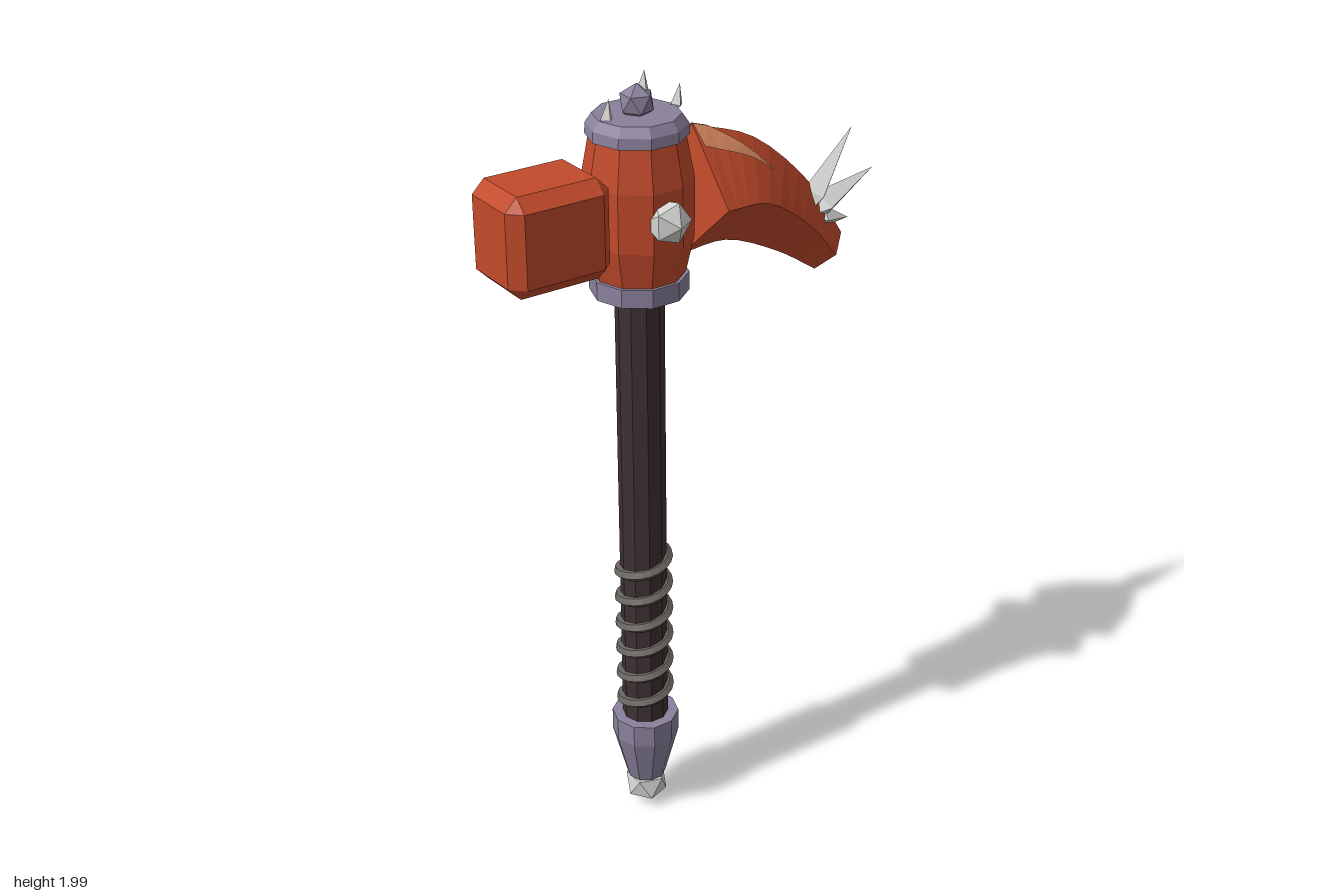
import * as THREE from 'three';
import { ConvexGeometry } from 'three/addons/geometries/ConvexGeometry.js';

const AXIS = -0.153; // x of the shaft

function paint(name, color, extra = {}) {
  const m = new THREE.MeshStandardMaterial({ color, flatShading: true, ...extra });
  m.name = name;
  return m;
}

// Icosahedron standing on one of its corners
function gem(radius) {
  return new THREE.IcosahedronGeometry(radius, 0).rotateZ(-0.5536);
}

export function createModel() {
  const group = new THREE.Group();
  const red = paint('red', 0xc24a2b);
  const tan = paint('tan', 0xd88960, { side: THREE.DoubleSide });
  const wood = paint('darkWood', 0x3e3132);
  const iron = paint('violetIron', 0x8a819b);
  const silver = paint('silver', 0xd4d4d2);
  const cord = paint('cord', 0x6b6762);

  const add = (name, geometry, material, x = 0, y = 0, z = 0) => {
    const mesh = new THREE.Mesh(geometry, material);
    mesh.name = name;
    mesh.position.set(x, y, z);
    group.add(mesh);
    return mesh;
  };
  // Faceted turned part on the shaft axis; profile is [radius, y] from bottom to top
  const turned = (name, profile, material) => {
    const g = new THREE.LatheGeometry(profile.map(p => new THREE.Vector2(...p)), 10);
    g.rotateY(Math.PI / 2);
    return add(name, g, material, AXIS);
  };
  // Four-sided crystal from a base point to a tip, widest a part of the way up
  const crystal = (name, from, to, radius, widest = 0.3) => {
    const a = new THREE.Vector3(...from), dir = new THREE.Vector3(...to).sub(a);
    const len = dir.length();
    const pts = [[0, 0], [radius, len * widest], [0, len]].map(p => new THREE.Vector2(...p));
    const mesh = add(name, new THREE.LatheGeometry(pts, 4), silver, ...from);
    mesh.quaternion.setFromUnitVectors(new THREE.Vector3(0, 1, 0), dir.normalize());
    return mesh;
  };

  // Handle
  turned('shaft', [[0, 0.28], [0.058, 0.28], [0.058, 1.5], [0, 1.5]], wood);
  turned('ferrule', [[0, 0.1], [0.05, 0.1], [0.085, 0.235], [0.085, 0.295], [0, 0.295]], iron);
  add('pommelGem', gem(0.058), silver, AXIS, 0.066, 0);

  // Cord wound around the grip
  const winding = [];
  for (let i = 0; i <= 72; i++) {
    const a = (i / 72) * Math.PI * 2 * 6 + Math.PI / 2;
    winding.push(new THREE.Vector3(AXIS + Math.sin(a) * 0.06, 0.31 + (i / 72) * 0.46, Math.cos(a) * 0.06));
  }
  add('gripCord', new THREE.TubeGeometry(new THREE.CatmullRomCurve3(winding), 120, 0.014, 5), cord);

  // Head core
  turned('collar', [[0, 1.485], [0.115, 1.485], [0.115, 1.53], [0, 1.53]], iron);
  turned('barrel', [[0.107, 1.53], [0.127, 1.62], [0.127, 1.76], [0.108, 1.862]], red);
  turned('cap', [[0, 1.86], [0.117, 1.86], [0.115, 1.885], [0.1, 1.907], [0, 1.907]], iron);
  add('capKnob', gem(0.042), iron, AXIS, 1.932, 0);
  crystal('topSpike', [AXIS + 0.01, 1.92, 0], [-0.132, 2, 0], 0.016, 0.45);
  crystal('rightCapSpike', [-0.235, 1.885, 0], [-0.226, 1.952, 0], 0.016);
  crystal('leftCapSpike', [-0.052, 1.885, 0], [-0.038, 1.952, 0], 0.016);
  for (const s of [1, -1]) {
    const stud = gem(0.055).rotateX(s * Math.PI / 2);
    add(s > 0 ? 'frontStud' : 'backStud', stud, silver, AXIS, 1.69, s * 0.116);
  }

  // Hammer block with chamfered edges
  const [hx, hy, hz, c] = [0.13, 0.118, 0.1, 0.031];
  const corners = [];
  for (const sx of [-1, 1]) for (const sy of [-1, 1]) for (const sz of [-1, 1]) {
    corners.push(
      new THREE.Vector3(sx * hx, sy * (hy - c), sz * (hz - c)),
      new THREE.Vector3(sx * (hx - c), sy * hy, sz * (hz - c)),
      new THREE.Vector3(sx * (hx - c), sy * (hy - c), sz * hz));
  }
  add('hammerBlock', new ConvexGeometry(corners), red, -0.405, 1.693, 0);

  // Curved pick with a diamond cross-section
  const curve = pts => new THREE.CatmullRomCurve3(pts.map(p => new THREE.Vector3(p[0], p[1], 0)));
  const topCurve = curve([[-0.005, 1.85], [0.167, 1.785], [0.345, 1.625], [0.44, 1.482]]);
  const lowCurve = curve([[-0.03, 1.543], [0.09, 1.547], [0.245, 1.48], [0.36, 1.405]]);
  const N = 12;
  const section = i => {
    const top = topCurve.getPoint(i / N), low = lowCurve.getPoint(i / N);
    const side = top.clone().lerp(low, 0.5);
    side.z = 0.16 - 0.304 * (side.x + 0.0175); // straight taper seen from above
    return [top, side, low, side.clone().setZ(-side.z)];
  };
  const pos = [], index = [];
  for (let i = 0; i <= N; i++) {
    for (const p of section(i)) pos.push(p.x, p.y, p.z);
    if (i === N) break;
    for (let j = 0; j < 4; j++) {
      const a = i * 4 + j, b = i * 4 + (j + 1) % 4;
      index.push(a, b, a + 4, b, b + 4, a + 4);
    }
  }
  const e = N * 4;
  index.push(0, 2, 1, 0, 3, 2, e, e + 1, e + 2, e, e + 2, e + 3);
  const surface = (p, ix) => {
    const g = new THREE.BufferGeometry();
    g.setAttribute('position', new THREE.Float32BufferAttribute(p, 3));
    g.setIndex(ix);
    g.computeVertexNormals();
    return g;
  };
  add('pick', surface(pos, index), red);

  // Pointed worn patches on both upper faces of the pick, slightly raised at the wide end
  const inner = [0, 0, 0.1, 0.2, 0.3, 0.4];
  for (const s of [1, -1]) {
    const p = [], ix = [];
    inner.forEach((k, i) => {
      const [top, side] = section(i);
      const outer = 0.34 + 0.014 * i;
      for (const f of [k, outer]) {
        const q = top.clone().lerp(side, f);
        const lift = 0.003 + 0.015 * (f / outer) * (1 - i / 5);
        p.push(q.x, q.y + lift, s * (q.z + 0.002));
      }
      if (i < inner.length - 1) {
        const a = i * 2;
        if (s > 0) ix.push(a, a + 1, a + 2, a + 1, a + 3, a + 2);
        else ix.push(a, a + 2, a + 1, a + 1, a + 2, a + 3);
      }
    });
    add(s > 0 ? 'frontWornPatch' : 'backWornPatch', surface(p, ix), tan);
  }

  // Crystals on the tip of the pick
  crystal('tallCrystal', [0.305, 1.54, 0], [0.46, 1.75, 0], 0.036);
  crystal('longCrystal', [0.31, 1.545, 0], [0.53, 1.632, 0], 0.038);
  crystal('shortCrystal', [0.34, 1.545, 0], [0.458, 1.518, 0], 0.03);

  return group;
}
